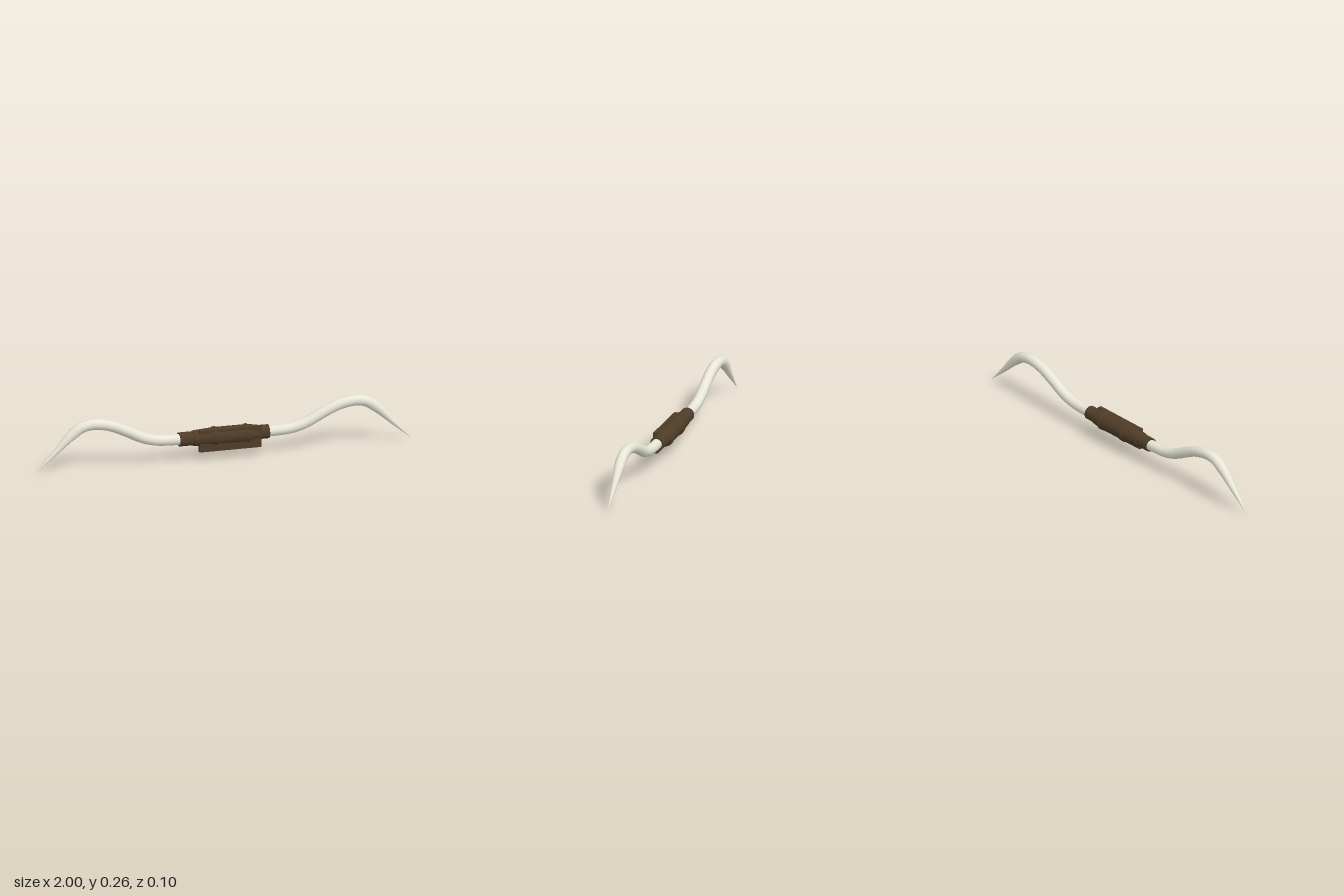
import * as THREE from 'three';
import { toCreasedNormals } from 'three/addons/utils/BufferGeometryUtils.js';

const AXIS_Y = 0.112;
const ivory = new THREE.MeshStandardMaterial({ color: 0xe8e6d6 });
const leather = new THREE.MeshStandardMaterial({ color: 0x4f3c28 });

// Horn pair: one tube along a mirrored curve, narrowed to a point at both tips
function hornGeometry() {
  const half = [
    [0.28, 0.113], [0.36, 0.119], [0.43, 0.138], [0.52, 0.182], [0.6, 0.217],
    [0.69, 0.234], [0.755, 0.224], [0.81, 0.188], [0.9, 0.1], [1, 0.003],
  ];
  const left = half.map(([x, y]) => new THREE.Vector3(x, y, 0));
  const right = half.map(([x, y]) => new THREE.Vector3(-x, y, 0)).reverse();
  const curve = new THREE.CatmullRomCurve3([...right, new THREE.Vector3(0, AXIS_Y, 0), ...left], false, 'centripetal');
  const segments = 120, sides = 12;
  const geo = new THREE.TubeGeometry(curve, segments, 0.028, sides);
  const pos = geo.attributes.position;
  const v = new THREE.Vector3();
  for (let i = 0; i <= segments; i++) {
    const centre = curve.getPointAt(i / segments);
    const k = Math.min(1, Math.max(0.02, (1 - Math.abs(centre.x)) / 0.2));
    for (let j = 0; j <= sides; j++) {
      const n = i * (sides + 1) + j;
      v.fromBufferAttribute(pos, n).sub(centre).multiplyScalar(k).add(centre);
      pos.setXYZ(n, v.x, v.y, v.z);
    }
  }
  return geo;
}

// Leather grip: stepped sleeve turned about the x axis
function gripGeometry() {
  const profile = [
    [0, -0.24], [0.036, -0.24], [0.036, -0.17], [0.04, -0.165], [0.047, -0.065],
    [0.051, -0.06], [0.051, -0.045], [0.047, -0.04], [0.047, 0.105],
    [0.051, 0.11], [0.051, 0.122], [0.046, 0.128], [0.039, 0.178], [0.036, 0.18],
    [0.036, 0.235], [0, 0.235],
  ].map(([r, x]) => new THREE.Vector2(r, x));
  const geo = new THREE.LatheGeometry(profile, 24);
  geo.rotateZ(-Math.PI / 2);
  return toCreasedNormals(geo, 0.5);
}

export function createModel() {
  const group = new THREE.Group();
  const add = (name, geometry, material, x, y, z) => {
    const mesh = new THREE.Mesh(geometry, material);
    mesh.name = name;
    mesh.position.set(x, y, z);
    group.add(mesh);
  };

  add('horns', hornGeometry(), ivory, 0, 0, 0);
  add('grip', gripGeometry(), leather, 0, AXIS_Y, 0);
  // Flat plate set into the front of the grip and hanging below it
  add('mountingPlate', new THREE.BoxGeometry(0.328, 0.111, 0.023), leather, 0.025, 0.0985, 0.0235);
  return group;
}
